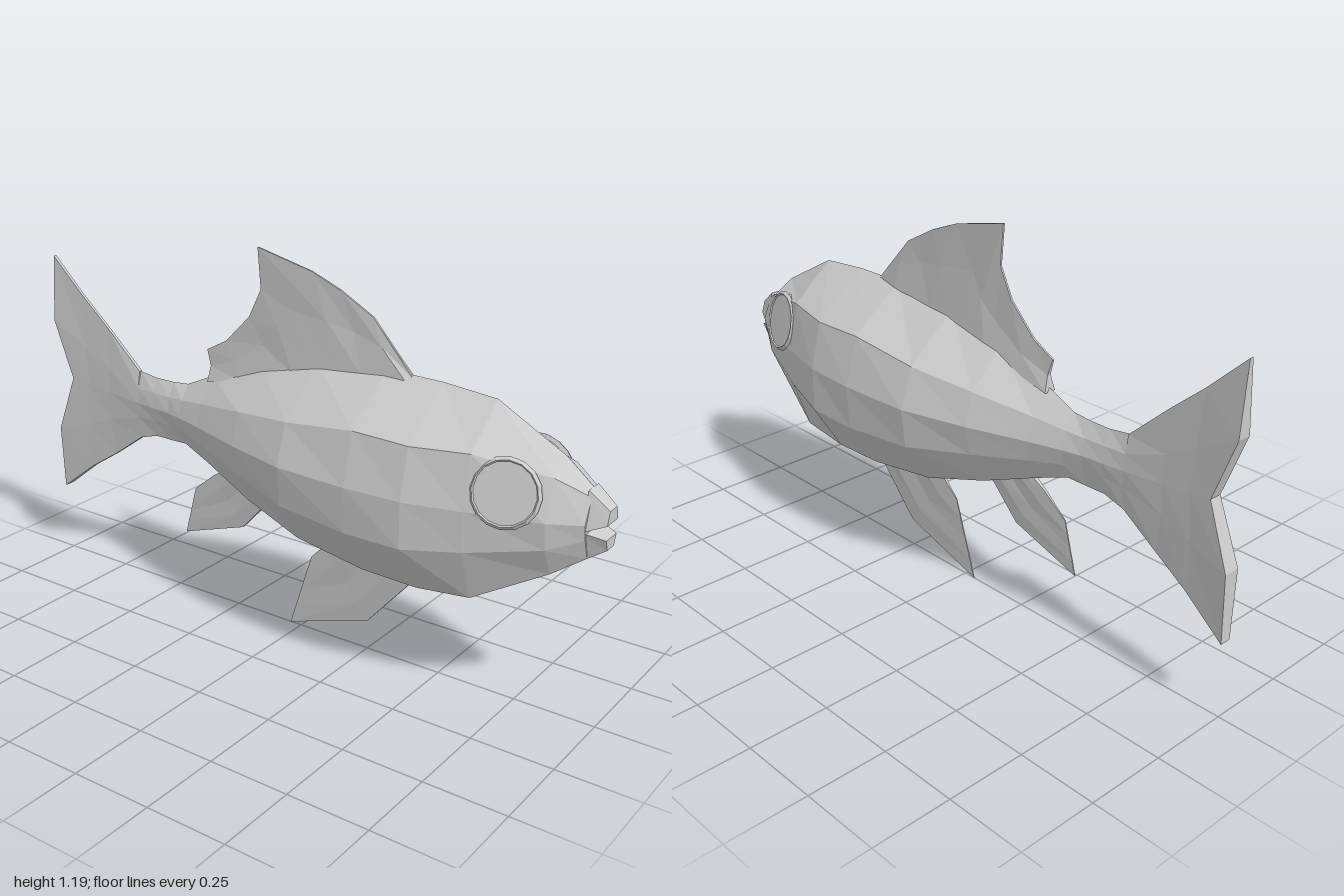
import * as THREE from 'three';

const material = new THREE.MeshStandardMaterial({ color: 0xcccccc, flatShading: true, side: THREE.DoubleSide });

function addMesh(parent, name, geometry) {
  const mesh = new THREE.Mesh(geometry, material);
  mesh.name = name;
  parent.add(mesh);
  return mesh;
}

// Closed skin over half sections [x, y, z] (top to bottom, z >= 0), mirrored
// across z = 0. Sections run from the tail towards the head.
function loft(halves) {
  const m = halves[0].length, n = 2 * m;
  const positions = [], index = [];
  for (const half of halves) {
    const mirrored = half.map(([x, y, z]) => [x, y, -z]).reverse();
    for (const p of [...half, ...mirrored]) positions.push(...p);
  }
  const quad = (a, b, c, d) => index.push(a, b, c, a, c, d);
  for (let i = 0; i < halves.length - 1; i++) {
    for (let j = 0; j < n; j++) {
      const k = (j + 1) % n;
      quad(i * n + j, i * n + k, (i + 1) * n + k, (i + 1) * n + j);
    }
  }
  // End caps, strip by strip between the two mirrored halves
  const last = (halves.length - 1) * n;
  for (let j = 0; j < m - 1; j++) {
    quad(n - 1 - j, n - 2 - j, j + 1, j);
    quad(last + j, last + j + 1, last + n - 2 - j, last + n - 1 - j);
  }
  const indexed = new THREE.BufferGeometry();
  indexed.setAttribute('position', new THREE.Float32BufferAttribute(positions, 3));
  indexed.setIndex(index);
  const geometry = indexed.toNonIndexed();
  geometry.computeVertexNormals();
  return geometry;
}

// Lower fin: rays blended from the rear ray to the front ray, thinning outwards
function lowerFin(rear, front, count) {
  const thickness = [0.014, 0.007, 0.002];
  const rays = [];
  for (let i = 0; i <= count; i++) {
    const t = i / count;
    rays.push(rear.map(([x, y], j) => [
      THREE.MathUtils.lerp(x, front[j][0], t),
      THREE.MathUtils.lerp(y, front[j][1], t),
      thickness[j] * (i % 2 ? 1 : 0.6),
    ]));
  }
  return loft(rays);
}

export function createModel() {
  const fish = new THREE.Group();
  fish.name = 'fish';

  // Body: x, topY, upperY, upperZ, middleZ, lowerY, lowerZ, bottomY, bottomZ
  const stations = [
    [-0.64, 0.725, 0.67, 0.016, 0.02, 0.57, 0.016, 0.50, 0.01],
    [-0.57, 0.715, 0.67, 0.02, 0.027, 0.575, 0.02, 0.52, 0.01],
    [-0.50, 0.715, 0.67, 0.025, 0.035, 0.575, 0.025, 0.52, 0.012],
    [-0.44, 0.72, 0.675, 0.035, 0.05, 0.57, 0.038, 0.525, 0.02],
    [-0.34, 0.765, 0.69, 0.06, 0.08, 0.555, 0.065, 0.49, 0.035],
    [-0.15, 0.835, 0.72, 0.115, 0.145, 0.525, 0.125, 0.42, 0.07],
    [0.06, 0.885, 0.745, 0.16, 0.203, 0.495, 0.19, 0.36, 0.1],
    [0.30, 0.908, 0.775, 0.175, 0.217, 0.48, 0.21, 0.33, 0.112],
    [0.48, 0.905, 0.77, 0.175, 0.21, 0.48, 0.21, 0.325, 0.112],
    [0.65, 0.89, 0.775, 0.138, 0.168, 0.50, 0.165, 0.342, 0.108],
    [0.86, 0.775, 0.735, 0.07, 0.11, 0.54, 0.1, 0.455, 0.058],
    [0.95, 0.70, 0.69, 0.03, 0.06, 0.575, 0.052, 0.515, 0.03],
  ];
  addMesh(fish, 'body', loft(stations.map(([x, top, uy, uz, mz, ly, lz, by, bz]) => [
    [x, top, 0], [x, uy, uz], [x, 0.62, mz], [x, ly, lz], [x, by, bz],
  ])));

  // Lips, parted by the mouth notch
  addMesh(fish, 'upperLip', loft([
    [[0.94, 0.708, 0.03], [0.94, 0.598, 0.06]],
    [[1, 0.66, 0.022], [1, 0.622, 0.034]],
  ]));
  addMesh(fish, 'lowerLip', loft([
    [[0.94, 0.596, 0.055], [0.94, 0.508, 0.03]],
    [[1, 0.58, 0.032], [1, 0.548, 0.02]],
  ]));

  // Forked tail fin
  const tailColumns = [
    [[-1, 1.055, 0.006], [-1, 0.84, 0.022], [-0.93, 0.65, 0.02], [-1, 0.46, 0.026], [-1, 0.245, 0.018]],
    [[-0.88, 0.94, 0.005], [-0.87, 0.77, 0.014], [-0.86, 0.64, 0.016], [-0.87, 0.5, 0.016], [-0.87, 0.345, 0.012]],
    [[-0.77, 0.845, 0.005], [-0.77, 0.715, 0.013], [-0.77, 0.63, 0.015], [-0.77, 0.535, 0.013], [-0.76, 0.415, 0.008]],
    [[-0.64, 0.725, 0.006], [-0.64, 0.67, 0.016], [-0.64, 0.62, 0.02], [-0.64, 0.57, 0.016], [-0.64, 0.50, 0.01]],
  ];
  addMesh(fish, 'tailFin', loft(tailColumns));

  // Dorsal fin: tip x, tip y, base x, base y for each ray
  const dorsalRays = [
    [-0.355, 0.85, -0.345, 0.75], [-0.28, 0.89, -0.22, 0.78], [-0.19, 0.98, -0.1, 0.82],
    [-0.145, 1.07, -0.02, 0.84], [-0.155, 1.195, 0.06, 0.86], [0.04, 1.15, 0.14, 0.875],
    [0.14, 1.11, 0.22, 0.885], [0.25, 1.05, 0.3, 0.89], [0.38, 0.908, 0.37, 0.89],
  ];
  addMesh(fish, 'dorsalFin', loft(dorsalRays.map(([tx, ty, bx, by], i) => [
    [tx, ty, 0.003],
    [(tx + bx) / 2 + 0.01, (ty + by) / 2, i % 2 ? 0.01 : 0.006],
    [bx, by, 0.02],
  ])));

  // Fins under the belly
  addMesh(fish, 'pelvicFin', lowerFin(
    [[0.15, 0.37], [0.09, 0.305], [0.04, 0.255]],
    [[0.46, 0.34], [0.25, 0.1], [-0.04, 0.005]], 4));
  addMesh(fish, 'analFin', lowerFin(
    [[-0.27, 0.48], [-0.34, 0.435], [-0.42, 0.37]],
    [[-0.1, 0.42], [-0.225, 0.285], [-0.465, 0.205]], 4));

  // Eyes: a flat disc inside a thin rim, on both sides of the head
  for (const side of [1, -1]) {
    const eye = new THREE.Group();
    eye.name = side > 0 ? 'leftEye' : 'rightEye';
    eye.position.set(0.75, 0.685, 0.126 * side);
    eye.quaternion.setFromUnitVectors(
      new THREE.Vector3(0, 0, 1), new THREE.Vector3(0.25, 0.24, side).normalize());
    addMesh(eye, 'eyeDisc', new THREE.CylinderGeometry(0.09, 0.09, 0.03, 16).rotateX(Math.PI / 2))
      .position.z = -0.01;
    addMesh(eye, 'eyeRim', new THREE.TorusGeometry(0.09, 0.009, 4, 16));
    fish.add(eye);
  }

  return fish;
}
